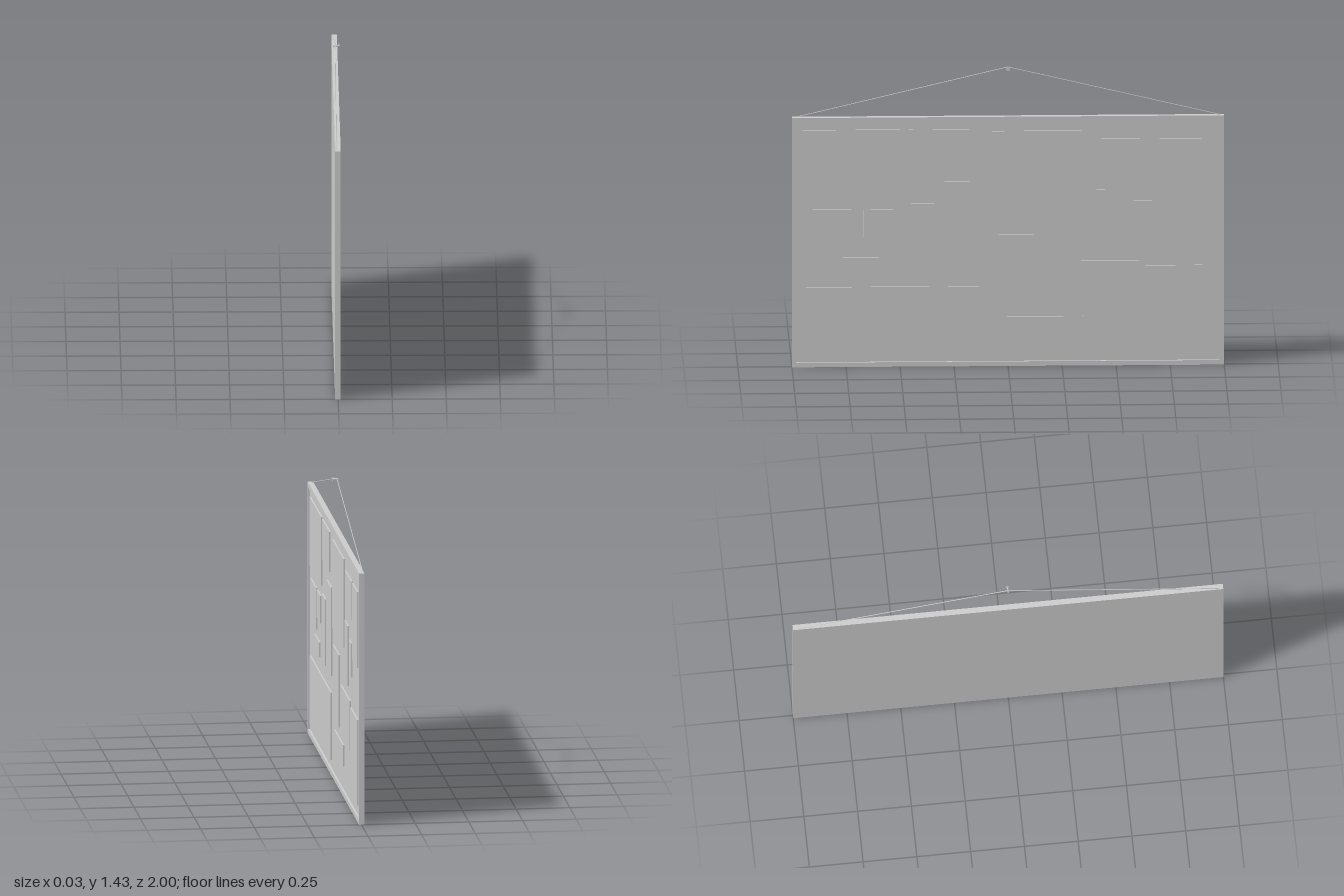
import * as THREE from 'three';

const material = new THREE.MeshStandardMaterial({ color: 0xcccccc });

function add(group, name, geometry, x = 0, y = 0, z = 0) {
  const mesh = new THREE.Mesh(geometry, material);
  mesh.name = name;
  mesh.position.set(x, y, z);
  group.add(mesh);
  return mesh;
}

// Tiles on the board: left, right, bottom, top
const TILES = [
  [-0.95, -0.50, 0.805, 1.13], [-0.46, -0.18, 0.94, 1.13], [-0.075, 0.365, 0.70, 1.12],
  [0.43, 0.675, 0.90, 1.08], [0.70, 0.895, 0.72, 1.08], [-0.905, -0.70, 0.555, 0.75],
  [-0.67, -0.53, 0.62, 0.75], [-0.475, -0.34, 0.46, 0.775], [-0.295, -0.12, 0.46, 0.88],
  [0.41, 0.535, 0.555, 0.84], [0.58, 0.665, 0.625, 0.785], [-0.045, 0.175, 0.28, 0.625],
  [0.25, 0.605, 0.26, 0.50], [0.635, 0.90, 0.07, 0.475], [-0.765, -0.575, 0.45, 0.52],
  [-0.935, -0.135, 0.06, 0.38], [-0.005, 0.35, 0.135, 0.235],
];

const WIDTH = 2, HEIGHT = 1.19, BORDER = 0.022;
const BACK = -0.014, BOARD = 0.002, TILE_FRONT = 0.009, FRAME_FRONT = 0.012;

function rectangle(path, x0, x1, y0, y1) {
  path.moveTo(x0, y0);
  path.lineTo(x1, y0);
  path.lineTo(x1, y1);
  path.lineTo(x0, y1);
  path.closePath();
  return path;
}

export function createModel() {
  const model = new THREE.Group();
  model.name = 'hangingPictureBoard';

  // Built facing +z, then turned to face +x
  const board = new THREE.Group();
  board.name = 'pictureBoard';
  board.rotation.y = Math.PI / 2;
  model.add(board);

  // Raised border and recessed backing
  const w = WIDTH / 2;
  const outline = rectangle(new THREE.Shape(), -w, w, 0, HEIGHT);
  outline.holes.push(rectangle(new THREE.Path(), -w + BORDER, w - BORDER, BORDER, HEIGHT - BORDER));
  add(board, 'frame', new THREE.ExtrudeGeometry(outline, {
    depth: FRAME_FRONT - BACK, bevelEnabled: false,
  }), 0, 0, BACK);
  add(board, 'backingBoard',
    new THREE.BoxGeometry(WIDTH - 2 * BORDER, HEIGHT - 2 * BORDER, BOARD - BACK),
    0, HEIGHT / 2, (BOARD + BACK) / 2);

  // Raised rectangular tiles
  TILES.forEach(([x0, x1, y0, y1], i) => {
    add(board, `tile${i + 1}`, new THREE.BoxGeometry(x1 - x0, y1 - y0, TILE_FRONT - BOARD),
      (x0 + x1) / 2, (y0 + y1) / 2, (TILE_FRONT + BOARD) / 2);
  });

  // Hanging cord from both top corners to the nail
  for (const side of [-1, 1]) {
    const path = new THREE.LineCurve3(
      new THREE.Vector3(side * 0.985, HEIGHT - 0.002, -0.009),
      new THREE.Vector3(0, 1.423, -0.005));
    add(board, side < 0 ? 'cordLeft' : 'cordRight', new THREE.TubeGeometry(path, 1, 0.002, 8, false));
  }

  // Nail with a round head
  const shaft = add(board, 'nailShaft', new THREE.CylinderGeometry(0.003, 0.003, 0.025, 12), 0, 1.418, -0.0015);
  const head = add(board, 'nailHead', new THREE.CylinderGeometry(0.01, 0.01, 0.003, 16), 0, 1.418, 0.0125);
  shaft.rotation.x = head.rotation.x = Math.PI / 2;

  return model;
}
